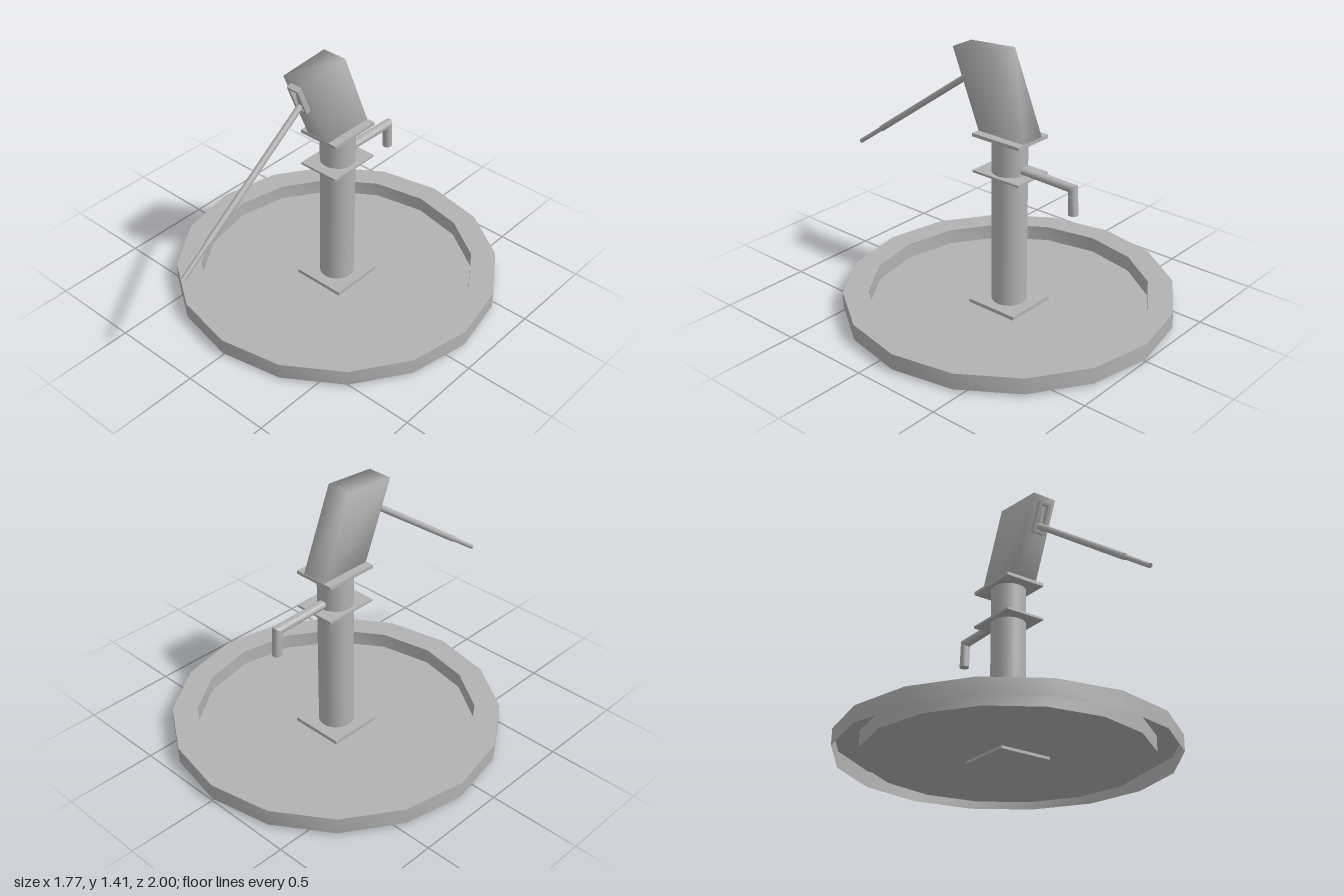
import * as THREE from 'three';
import { mergeVertices, toCreasedNormals } from 'three/addons/utils/BufferGeometryUtils.js';

const CZ = -0.115; // z of the pump's vertical axis

export function createModel() {
  const group = new THREE.Group();
  const metal = new THREE.MeshStandardMaterial({ color: 0xb2b2b2, side: THREE.DoubleSide });
  metal.name = 'grey metal';

  const add = (name, geometry, x = 0, y = 0, z = 0) => {
    const mesh = new THREE.Mesh(geometry, metal);
    mesh.name = name;
    mesh.position.set(x, y, z);
    group.add(mesh);
    return mesh;
  };

  // Rod between two points in the x = 0 plane, given as [y, z]
  const rod = (name, a, b, r) => {
    const p = new THREE.Vector3(0, ...a), q = new THREE.Vector3(0, ...b);
    const mesh = add(name, new THREE.CylinderGeometry(r, r, p.distanceTo(q), 12));
    mesh.position.copy(p).lerp(q, 0.5);
    mesh.quaternion.setFromUnitVectors(new THREE.Vector3(0, 1, 0), q.sub(p).normalize());
  };

  // Sixteen-sided tray: floor, inner wall, flat rim and outer wall, open beneath the rim
  const profile = [[0, 0.015], [0.75, 0.015], [0.75, 0.1], [0.885, 0.1], [0.885, 0.012]]
    .map(([r, y]) => new THREE.Vector2(r, y)).reverse();
  add('tray', toCreasedNormals(new THREE.LatheGeometry(profile, 16), 0.6), 0, 0, CZ);

  // Post and square flanges
  add('post', new THREE.CylinderGeometry(0.094, 0.094, 0.96, 24), 0, 0.49, CZ);
  add('basePlate', new THREE.BoxGeometry(0.3, 0.035, 0.305), 0, 0.0175, CZ);
  add('lowerFlange', new THREE.BoxGeometry(0.235, 0.012, 0.305), 0, 0.77, CZ);
  add('upperFlange', new THREE.BoxGeometry(0.235, 0.018, 0.305), 0, 0.971, CZ);

  // Leaning head: a box sheared forward, with soft shading across its edges
  let head = new THREE.BoxGeometry(0.14, 1, 1);
  const hp = head.attributes.position;
  for (let i = 0; i < hp.count; i++) {
    const top = hp.getY(i) > 0, front = hp.getZ(i) > 0;
    hp.setY(i, top ? (front ? 1.393 : 1.415) : 0.978);
    hp.setZ(i, top ? (front ? 0.207 : -0.085) : (front ? 0.035 : -0.265));
  }
  head.deleteAttribute('normal');
  head.deleteAttribute('uv');
  head = mergeVertices(head);
  head.computeVertexNormals();
  add('head', head);

  // Bracket frame on the sloping front of the head
  const rect = (Type, w, h) => {
    const s = new Type();
    s.moveTo(-w, -h).lineTo(w, -h).lineTo(w, h).lineTo(-w, h).closePath();
    return s;
  };
  const frame = rect(THREE.Shape, 0.035, 0.085);
  frame.holes.push(rect(THREE.Path, 0.021, 0.07));
  const bracket = add('handleBracket',
    new THREE.ExtrudeGeometry(frame, { depth: 0.035, bevelEnabled: false }), 0, 1.284, 0.156);
  bracket.rotation.x = Math.atan2(0.172, 0.415);

  // Lever in the bracket, handle and thinner grip
  rod('lever', [1.31, 0.175], [1.235, 0.155], 0.016);
  rod('handle', [1.262, 0.12], [0.766, 0.82], 0.017);
  rod('grip', [0.773, 0.81], [0.645, 0.991], 0.0125);

  // Spout: rings from outer to inner edge [z, y], mitred at the bend
  const rings = [
    [[-0.19, 0.826], [-0.19, 0.782]],
    [[-0.543, 0.819], [-0.497, 0.774]],
    [[-0.554, 0.656], [-0.5, 0.656]],
  ];
  const N = 16, pos = [], index = [];
  rings.forEach(([o, n]) => {
    for (let i = 0; i < N; i++) {
      const a = (i / N) * Math.PI * 2, t = (1 - Math.cos(a)) / 2;
      pos.push(0.026 * Math.sin(a), o[1] + (n[1] - o[1]) * t, o[0] + (n[0] - o[0]) * t);
    }
  });
  for (let s = 0; s < rings.length - 1; s++) {
    for (let i = 0; i < N; i++) {
      const a = s * N + i, b = s * N + ((i + 1) % N);
      index.push(a, a + N, b, b, a + N, b + N);
    }
  }
  const last = (rings.length - 1) * N;
  for (let i = 1; i < N - 1; i++) index.push(last, last + i + 1, last + i);
  // Face outward: the first ring's top must point up
  const spout = new THREE.BufferGeometry();
  spout.setAttribute('position', new THREE.Float32BufferAttribute(pos, 3));
  const v = (i) => new THREE.Vector3().fromArray(pos, i * 3);
  const up = v(index[1]).sub(v(index[0])).cross(v(index[2]).sub(v(index[0]))).y;
  if (up < 0) index.reverse();
  spout.setIndex(index);
  add('spout', toCreasedNormals(spout, 0.6));

  return group;
}
